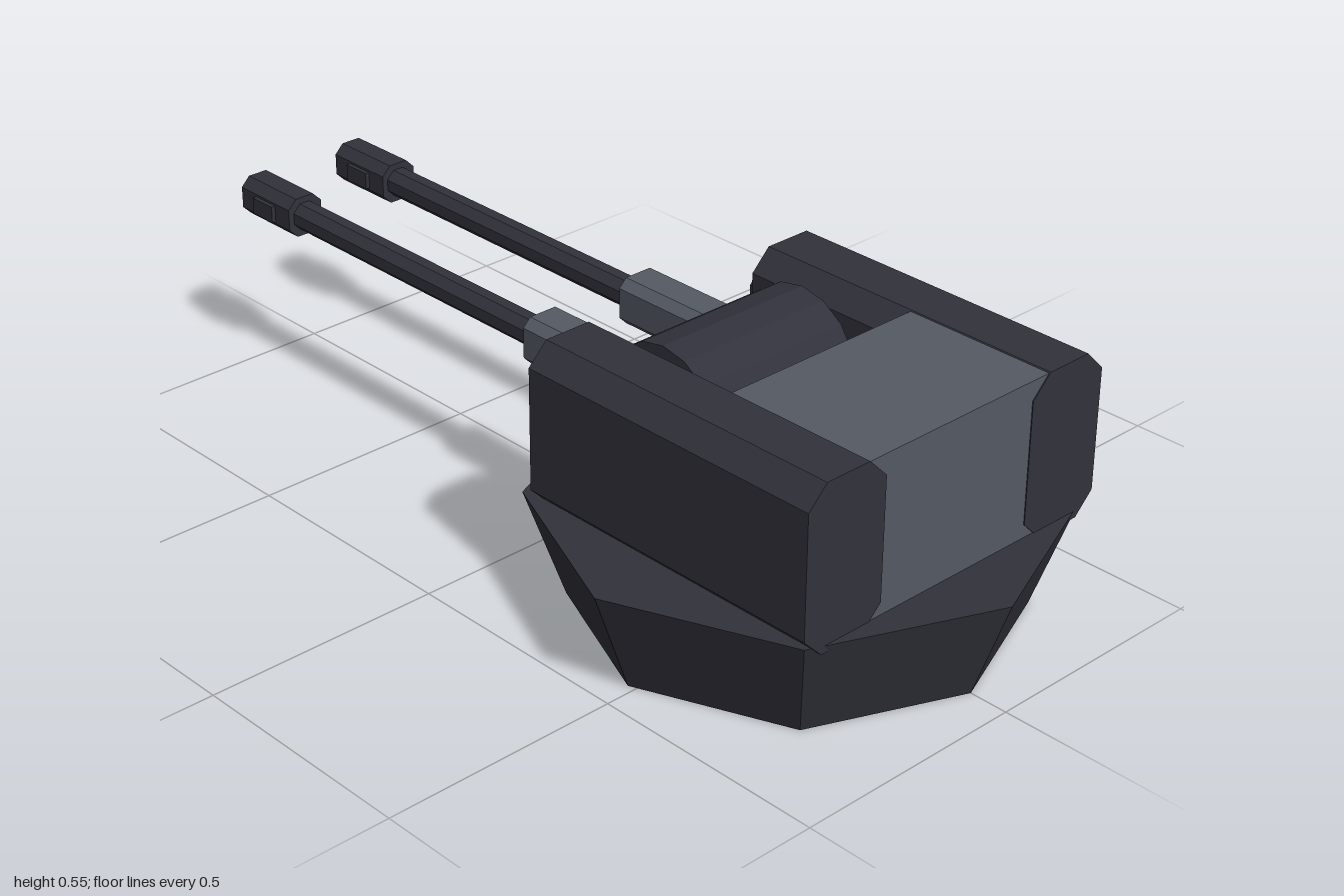
import * as THREE from 'three';

const mat = (name, color) => {
  const m = new THREE.MeshStandardMaterial({ color });
  m.name = name;
  return m;
};

export function createModel() {
  const dark = mat('dark armour', 0x32323c);
  const grey = mat('grey armour', 0x545a64);
  const green = mat('green lens', 0x40c028);

  const turret = new THREE.Group();
  turret.name = 'twinGunTurret';

  const add = (name, geometry, material, x = 0, y = 0, z = 0) => {
    const g = geometry.index ? geometry.toNonIndexed() : geometry;
    g.computeVertexNormals(); // faceted
    const mesh = new THREE.Mesh(g, material);
    mesh.name = name;
    mesh.position.set(x, y, z);
    turret.add(mesh);
    return mesh;
  };

  // Box with its four lengthwise edges cut off, running along z and centred
  const chamferBox = (w, h, d, c) => {
    const a = w / 2, b = h / 2;
    const s = new THREE.Shape([
      [-a + c, -b], [a - c, -b], [a, -b + c], [a, b - c],
      [a - c, b], [-a + c, b], [-a, b - c], [-a, -b + c],
    ].map(([x, y]) => new THREE.Vector2(x, y)));
    return new THREE.ExtrudeGeometry(s, { depth: d, bevelEnabled: false }).translate(0, 0, -d / 2);
  };

  // Eight-sided flared base
  add('base', new THREE.CylinderGeometry(0.515, 0.435, 0.22, 8), dark, 0, 0.11, 0.483);

  // Central housing between the cheeks
  add('housing', new THREE.BoxGeometry(0.47, 0.325, 0.33), grey, 0, 0.3805, 0.694);

  // Drum that carries the guns
  const drum = new THREE.CylinderGeometry(0.145, 0.145, 0.36, 16).rotateZ(Math.PI / 2);
  add('gunDrum', drum, dark, 0, 0.385, 0.302);

  for (const side of [-1, 1]) {
    const label = side > 0 ? 'left' : 'right';
    const gunX = side * 0.125;

    add(label + 'Cheek', chamferBox(0.19, 0.34, 0.7, 0.043), dark, side * 0.285, 0.375, 0.511);

    // Gun: sleeve, barrel and muzzle brake with side lugs
    add(label + 'Sleeve', chamferBox(0.1, 0.1, 0.3, 0.018), grey, gunX, 0.385, 0.06);
    const barrel = new THREE.CylinderGeometry(0.032, 0.032, 0.8, 8)
      .rotateY(Math.PI / 8).rotateX(Math.PI / 2);
    add(label + 'Barrel', barrel, dark, gunX, 0.383, -0.47);
    add(label + 'Muzzle', chamferBox(0.084, 0.086, 0.162, 0.02), dark, gunX, 0.383, -0.919);
    add(label + 'MuzzleLugs', new THREE.BoxGeometry(0.102, 0.036, 0.065), dark, gunX, 0.383, -0.918);
  }

  // Sensor on the left cheek, facing along the guns
  add('sensorHousing', chamferBox(0.13, 0.106, 0.04, 0.02), dark, 0.284, 0.422, 0.147);
  add('sensorLens', new THREE.BoxGeometry(0.094, 0.062, 0.008), green, 0.284, 0.422, 0.124);

  return turret;
}
